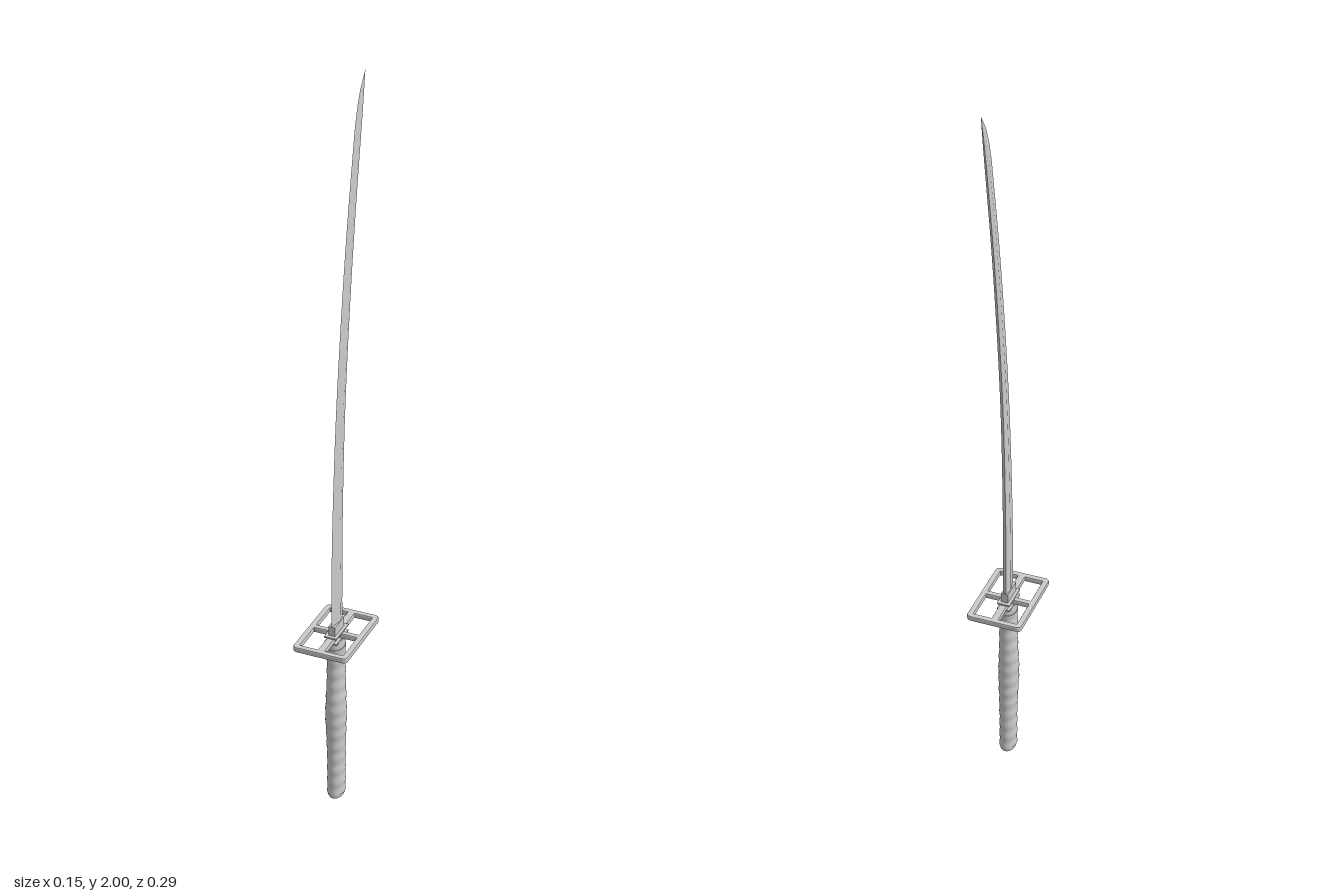
import * as THREE from 'three';

const grey = new THREE.MeshStandardMaterial({ color: 0xcccccc });
const greyFlat = new THREE.MeshStandardMaterial({ color: 0xcccccc, flatShading: true });

// Skin a list of rings (bottom to top, each counter-clockwise seen from below) and cap both ends.
function loft(rings) {
  const n = rings[0].length, pos = [], idx = [];
  rings.forEach(r => r.forEach(p => pos.push(...p)));
  for (let i = 0; i < rings.length - 1; i++) {
    for (let j = 0; j < n; j++) {
      const a = i * n + j, b = i * n + (j + 1) % n;
      idx.push(a, a + n, b, b, a + n, b + n);
    }
  }
  const cap = (ring, top) => {
    const start = pos.length / 3;
    ring.forEach(p => pos.push(...p));
    for (let j = 1; j < n - 1; j++) {
      if (top) idx.push(start, start + j + 1, start + j);
      else idx.push(start, start + j, start + j + 1);
    }
  };
  cap(rings[0], false);
  cap(rings[rings.length - 1], true);
  const g = new THREE.BufferGeometry();
  g.setAttribute('position', new THREE.Float32BufferAttribute(pos, 3));
  g.setIndex(idx);
  g.computeVertexNormals();
  return g;
}

// Ellipse ring at height y spanning z0..z1, half width rx.
function oval(y, rx, z0, z1, sides = 28) {
  return Array.from({ length: sides }, (_, j) => {
    const a = (j / sides) * Math.PI * 2;
    return [rx * Math.cos(a), y, (z0 + z1) / 2 + (z1 - z0) / 2 * Math.sin(a)];
  });
}

function rectPath(target, x0, x1, z0, z1, r) {
  // Shape y is -z, so the plate can be laid flat
  const y0 = -z1, y1 = -z0;
  target.moveTo(x0 + r, y0);
  target.lineTo(x1 - r, y0);
  target.quadraticCurveTo(x1, y0, x1, y0 + r);
  target.lineTo(x1, y1 - r);
  target.quadraticCurveTo(x1, y1, x1 - r, y1);
  target.lineTo(x0 + r, y1);
  target.quadraticCurveTo(x0, y1, x0, y1 - r);
  target.lineTo(x0, y0 + r);
  target.quadraticCurveTo(x0, y0, x0 + r, y0);
  return target;
}

export function createModel() {
  const group = new THREE.Group();
  const add = (name, geometry, material = grey) => {
    const mesh = new THREE.Mesh(geometry, material);
    mesh.name = name;
    group.add(mesh);
    return mesh;
  };

  // Blade: curved edge and spine lines [y, z]
  const curve = pts => new THREE.CatmullRomCurve3(pts.map(([y, z]) => new THREE.Vector3(0, y, z)));
  const edge = curve([[0.52, 0.062], [0.7, 0.062], [0.9, 0.053], [1.15, 0.033], [1.4, 0.002], [1.64, -0.036], [1.87, -0.081]]);
  const spine = curve([[0.52, 0.002], [0.7, 0.001], [0.9, -0.004], [1.15, -0.018], [1.4, -0.045], [1.64, -0.079], [1.87, -0.119]]);
  const section = (e, s, taper) => {
    const at = (t, x) => [x, e.y + (s.y - e.y) * t, e.z + (s.z - e.z) * t];
    const ridge = 0.009 * taper, back = 0.0045 * taper;
    return [at(0, 0), at(0.62, -ridge), at(1, -back), at(1, back), at(0.62, ridge)];
  };
  const rings = [];
  for (let i = 0; i <= 24; i++) {
    const t = i / 24;
    rings.push(section(edge.getPoint(t), spine.getPoint(t), 1 - 0.5 * t));
  }
  [[1.92, -0.096, -0.1285, 0.4], [1.96, -0.114, -0.136, 0.25], [2, -0.1435, -0.1445, 0.03]].forEach(([y, e, s, t]) =>
    rings.push(section({ y, z: e }, { y, z: s }, t)));
  add('blade', loft(rings), greyFlat);

  // Guard: rounded rectangular plate with four windows
  const plate = rectPath(new THREE.Shape(), -0.077, 0.077, -0.084, 0.144, 0.014);
  [[-0.061, -0.01], [0.01, 0.061]].forEach(([x0, x1]) =>
    [[-0.068, 0.022], [0.037, 0.128]].forEach(([z0, z1]) =>
      plate.holes.push(rectPath(new THREE.Path(), x0, x1, z0, z1, 0.001))));
  const guard = new THREE.ExtrudeGeometry(plate, {
    depth: 0.01, bevelEnabled: true, bevelThickness: 0.002, bevelSize: 0.001, bevelOffset: -0.001, bevelSegments: 1, curveSegments: 5,
  });
  guard.rotateX(-Math.PI / 2);
  add('guard', guard).position.y = 0.517;

  // Seat plates above and below the guard, and the sleeve at the blade root
  const box = (name, w, h, d, y) => {
    add(name, new THREE.BoxGeometry(w, h, d)).position.set(0, y, 0.031);
  };
  box('upperSeat', 0.036, 0.004, 0.08, 0.531);
  box('lowerSeat', 0.036, 0.004, 0.08, 0.514);
  box('bladeSleeve', 0.019, 0.03, 0.061, 0.545);

  // Grip: oval, swelling at mid height, with a wrapped ripple
  const grip = [];
  for (let i = 0; i <= 96; i++) {
    const t = i / 96, y = 0.014 + t * 0.474;
    const swell = Math.exp(-(((y - 0.27) / 0.085) ** 2));
    const ripple = 0.0008 * Math.cos(t * Math.PI * 2 * 12);
    grip.push(oval(y, 0.0235 + 0.004 * swell + ripple, 0 - ripple, 0.0625 + 0.005 * swell + ripple));
  }
  add('grip', loft(grip));

  // Collar and end cap
  add('collar', loft([oval(0.486, 0.0225, 0.001, 0.062), oval(0.514, 0.0225, 0.001, 0.062)]));
  add('endCap', loft([oval(0, 0.019, 0.004, 0.058), oval(0.005, 0.0215, 0.001, 0.061), oval(0.016, 0.0215, 0.001, 0.061)]));

  return group;
}
